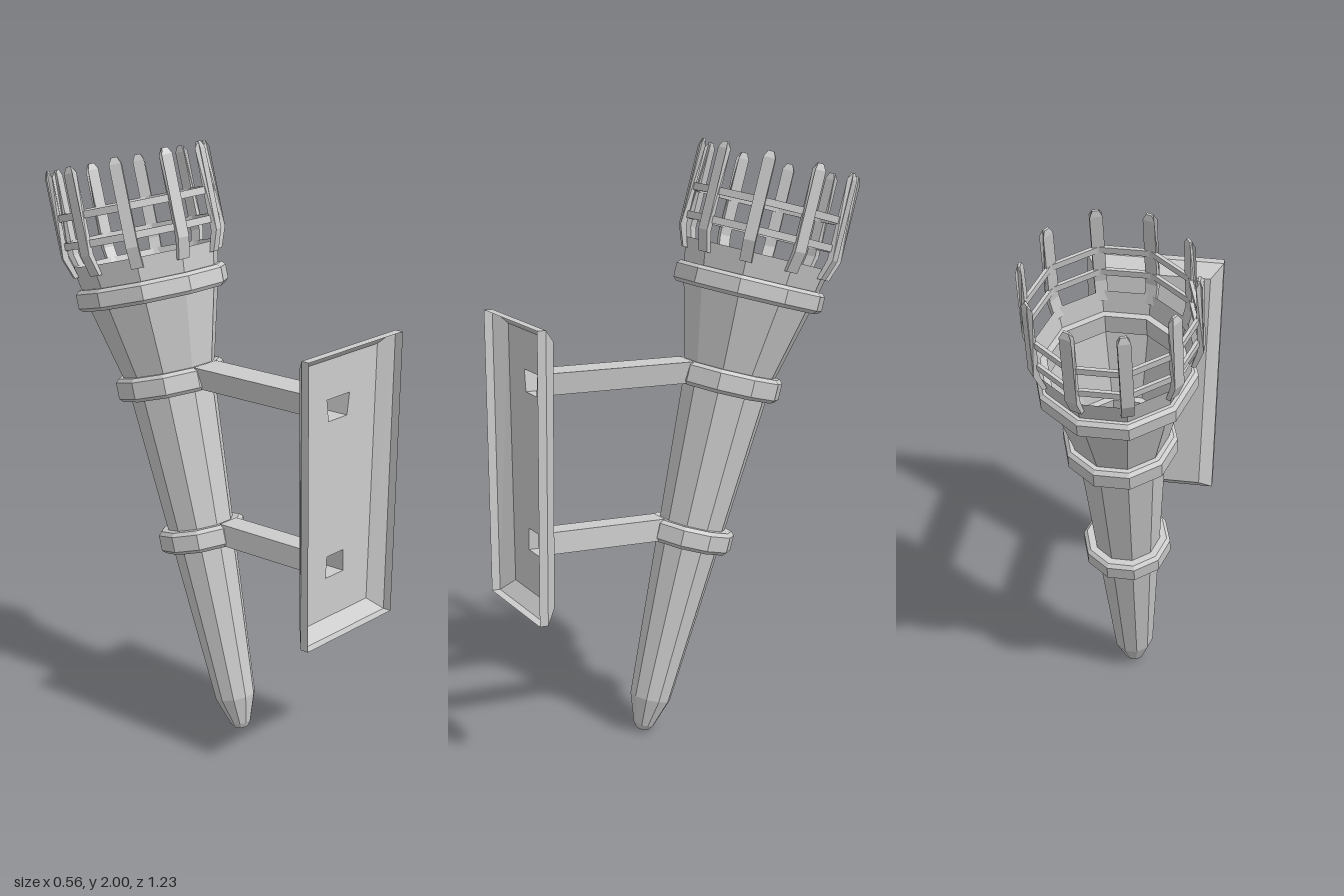
import * as THREE from 'three';

const SIDES = 10;
const material = new THREE.MeshStandardMaterial({ color: 0xcccccc, flatShading: true, side: THREE.DoubleSide });

function add(parent, name, geometry) {
  const mesh = new THREE.Mesh(geometry, material);
  mesh.name = name;
  parent.add(mesh);
  return mesh;
}

// Ten-sided turned part from [radius, height] pairs, with a corner on the x axis
function turned(profile) {
  return new THREE.LatheGeometry(profile.map(([r, y]) => new THREE.Vector2(r, y)), SIDES, Math.PI / SIDES);
}

// Closed collar with chamfered outer edges
function collar(inner, outer, y, h, c) {
  return turned([
    [inner, y - h], [outer - c, y - h], [outer, y - h + c],
    [outer, y + h - c], [outer - c, y + h], [inner, y + h], [inner, y - h],
  ]);
}

// Corners of a trapezoid, counter-clockwise seen from +z
function trapezoid({ top, bottom, topHalf, bottomHalf }) {
  return [[-bottomHalf, bottom], [bottomHalf, bottom], [topHalf, top], [-topHalf, top]];
}

// Open-ended skin joining cross-sections given as { corners, z }, from back to front
function skin(sections) {
  const positions = [];
  for (let s = 0; s < sections.length - 1; s++) {
    const a = sections[s], b = sections[s + 1], n = a.corners.length;
    for (let i = 0; i < n; i++) {
      const j = (i + 1) % n;
      const p = [...a.corners[i], a.z], q = [...a.corners[j], a.z];
      const r = [...b.corners[j], b.z], t = [...b.corners[i], b.z];
      positions.push(...p, ...q, ...r, ...p, ...r, ...t);
    }
  }
  const geometry = new THREE.BufferGeometry();
  geometry.setAttribute('position', new THREE.Float32BufferAttribute(positions, 3));
  geometry.computeVertexNormals();
  return geometry;
}

function makeTorch() {
  const torch = new THREE.Group();
  torch.name = 'torch';

  // Hollow tapered handle and flared cup
  add(torch, 'handle', turned([[0, -0.005], [0.022, -0.005], [0.035, 0.012], [0.07, 0.11], [0.15, 1.23]]));
  add(torch, 'cup', turned([[0.15, 1.23], [0.228, 1.54], [0.252, 1.665]]));

  // Collars
  add(torch, 'lowerCollar', collar(0.105, 0.15, 0.69, 0.038, 0.012));
  add(torch, 'middleCollar', collar(0.138, 0.188, 1.23, 0.04, 0.012));
  add(torch, 'upperCollar', collar(0.215, 0.26, 1.55, 0.036, 0.012));

  // Basket: upright bars kicked out from the rim, narrowed at the tip
  const barProfile = [
    [0.24, 1.63], [0.255, 1.63], [0.28, 1.70], [0.279, 1.97],
    [0.272, 1.992], [0.264, 1.992], [0.26, 1.97], [0.26, 1.70],
  ];
  const bar = new THREE.ExtrudeGeometry(
    new THREE.Shape(barProfile.map(([x, y]) => new THREE.Vector2(x, y))),
    { depth: 0.04, bevelEnabled: false },
  );
  bar.translate(0, 0, -0.02);
  const pos = bar.attributes.position;
  for (let i = 0; i < pos.count; i++) {
    if (pos.getY(i) > 1.98) pos.setZ(i, pos.getZ(i) * 0.5);
  }
  for (let i = 0; i < SIDES; i++) {
    add(torch, 'basketBar', bar).rotation.y = (i * 2 * Math.PI) / SIDES;
  }

  // Basket hoops
  for (const y of [1.737, 1.832]) {
    add(torch, 'basketHoop', collar(0.261, 0.273, y, 0.012, 0));
  }
  torch.position.set(0, 0.01, 0.155);
  torch.rotation.x = -Math.PI / 12;
  return torch;
}

function makeBracket() {
  const bracket = new THREE.Group();
  bracket.name = 'wallBracket';
  const arms = [
    { name: 'upperArm', top: 1.28, bottom: 1.207, topHalf: 0.058, bottomHalf: 0.047, end: -0.01 },
    { name: 'lowerArm', top: 0.75, bottom: 0.677, topHalf: 0.042, bottomHalf: 0.046, end: 0.09 },
  ];
  const rim = trapezoid({ top: 1.453, bottom: 0.497, topHalf: 0.241, bottomHalf: 0.222 });
  const face = trapezoid({ top: 1.41, bottom: 0.538, topHalf: 0.2, bottomHalf: 0.177 });
  const panelZ = 0.543;

  // Hollow plate: straight rim and sloping border
  add(bracket, 'plateBorder', skin([
    { corners: face, z: panelZ }, { corners: rim, z: 0.583 }, { corners: rim, z: 0.612 },
  ]));

  // Flat panel pierced where the hollow arms meet it
  const toPoints = (corners) => corners.map(([x, y]) => new THREE.Vector2(x, y));
  const panel = new THREE.Shape(toPoints(face));
  for (const arm of arms) panel.holes.push(new THREE.Path(toPoints(trapezoid(arm))));
  add(bracket, 'platePanel', new THREE.ShapeGeometry(panel)).position.z = panelZ;

  // Arms
  for (const arm of arms) {
    const corners = trapezoid(arm);
    add(bracket, arm.name, skin([{ corners, z: arm.end }, { corners, z: panelZ }]));
  }
  return bracket;
}

export function createModel() {
  const model = new THREE.Group();
  model.name = 'wallTorch';
  model.add(makeTorch(), makeBracket());
  return model;
}
